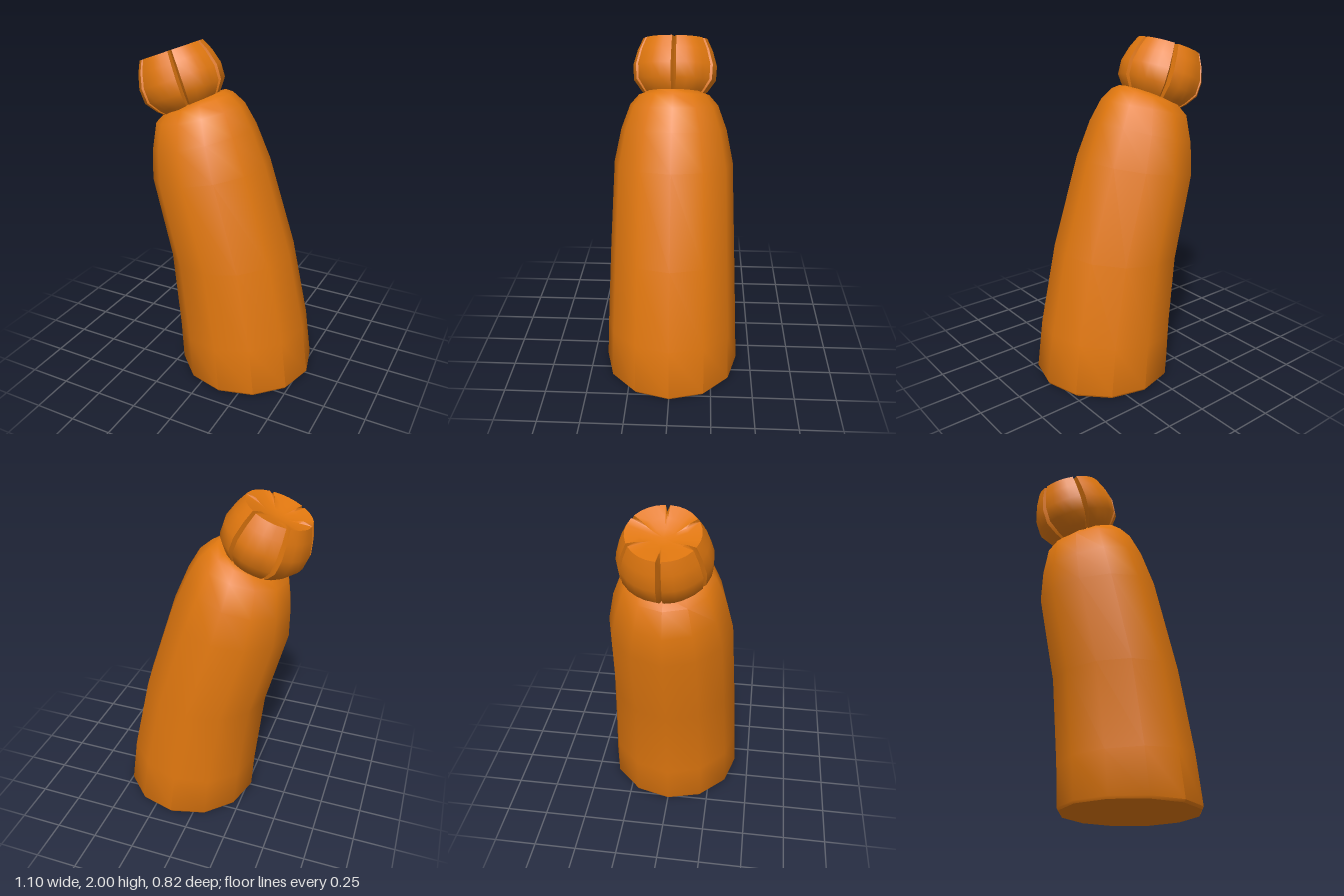
import * as THREE from 'three';
import { toCreasedNormals } from 'three/addons/utils/BufferGeometryUtils.js';

// Skin a stack of rings (arrays of Vector3, bottom to top) and close both ends.
function loft(rings, bottomCentre, topCentre, crease) {
  const n = rings[0].length;
  const points = [...rings.flat(), bottomCentre, topCentre];
  const bottom = rings.length * n, top = bottom + 1, last = bottom - n;
  const index = [];
  for (let j = 0; j < n; j++) {
    const k = (j + 1) % n;
    for (let i = 0; i < rings.length - 1; i++) {
      const a = i * n + j, b = i * n + k;
      index.push(a, a + n, b + n, a, b + n, b);
    }
    index.push(bottom, j, k, top, last + k, last + j);
  }
  const geometry = new THREE.BufferGeometry().setFromPoints(points);
  geometry.setIndex(index);
  return toCreasedNormals(geometry, crease);
}

export function createModel() {
  const group = new THREE.Group();
  group.name = 'squash';
  const orange = new THREE.MeshStandardMaterial({ color: 0xe0770f });
  orange.name = 'orange skin';

  // Leaning body: each section is left x, left y, right x, right y, half depth
  const sections = [
    [-0.268, 0, 0.535, 0, 0.402],
    [-0.275, 0.015, 0.545, 0.015, 0.412],
    [-0.29, 0.25, 0.505, 0.32, 0.4],
    [-0.34, 0.73, 0.4, 0.8, 0.377],
    [-0.46, 1.2, 0.23, 1.33, 0.354],
    [-0.46, 1.37, 0.14, 1.54, 0.312],
    [-0.44, 1.53, 0.07, 1.66, 0.258],
    [-0.38, 1.59, 0.0, 1.72, 0.205],
    [-0.33, 1.61, -0.04, 1.735, 0.16],
  ];
  const bodyRings = sections.map(([lx, ly, rx, ry, depth]) =>
    Array.from({ length: 12 }, (_, j) => {
      const a = (j / 12) * Math.PI * 2, c = Math.cos(a);
      return new THREE.Vector3(
        (lx + rx) / 2 + (c * (rx - lx)) / 2,
        (ly + ry) / 2 + (c * (ry - ly)) / 2,
        Math.sin(a) * depth);
    }));
  const body = new THREE.Mesh(
    loft(bodyRings, new THREE.Vector3(0.135, 0, 0), new THREE.Vector3(-0.185, 1.675, 0), 0.75), orange);
  body.name = 'body';
  group.add(body);

  // Stem: six lobes parted by narrow grooves; profile is radius, height, groove depth
  const profile = [
    [0.13, -0.06, 0.02], [0.195, 0, 0.03], [0.243, 0.065, 0.04], [0.247, 0.15, 0.04],
    [0.222, 0.235, 0.05], [0.19, 0.302, 0.05], [0.12, 0.285, 0.015], [0.06, 0.27, 0],
  ];
  const lobe = [0, 3.5, 18, 30, 42, 56.5];
  const stemRings = profile.map(([r, y, groove]) => {
    const ring = [];
    for (let i = 0; i < 6; i++) {
      lobe.forEach((degrees, j) => {
        const a = THREE.MathUtils.degToRad(i * 60 + degrees);
        const radius = j === 0 ? r - groove : r;
        ring.push(new THREE.Vector3(Math.cos(a) * radius, y, Math.sin(a) * radius));
      });
    }
    return ring;
  });
  const stem = new THREE.Mesh(
    loft(stemRings, new THREE.Vector3(0, -0.06, 0), new THREE.Vector3(0, 0.265, 0), 0.85), orange);
  stem.name = 'stem';
  stem.position.set(-0.262, 1.652, 0);
  stem.rotation.z = THREE.MathUtils.degToRad(20.5);
  group.add(stem);

  return group;
}
